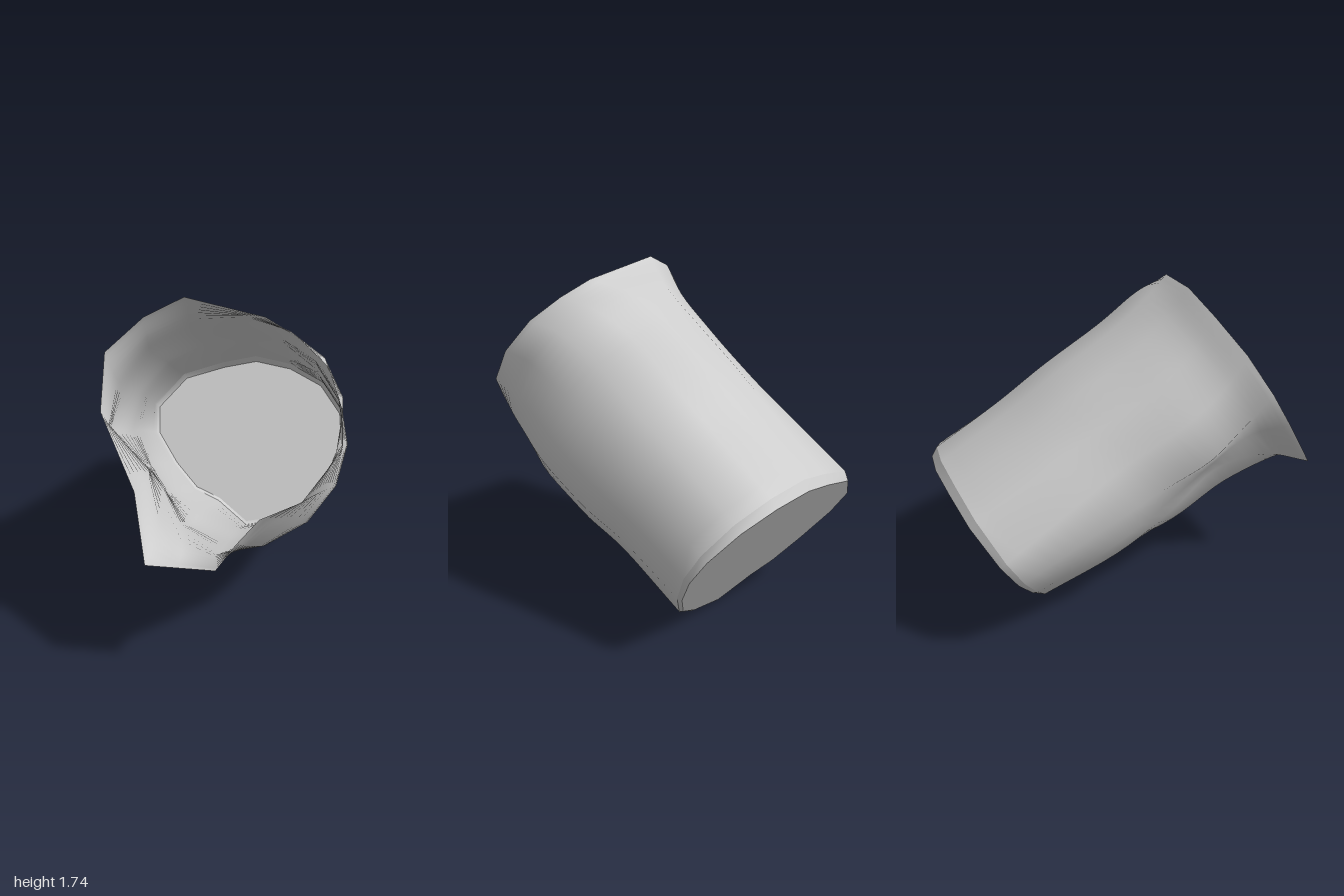
import * as THREE from 'three';

const SIDES = 16;
const material = new THREE.MeshStandardMaterial({ color: 0xcccccc, side: THREE.DoubleSide });

// Every cross-section lies in the tilted plane z + SLOPE * y = k
const SLOPE = 0.67;
const onPlane = (x, y, k) => new THREE.Vector3(x, y, k - SLOPE * y);

// Outlines [x, y, optional shift along the axis], starting underneath and turning towards +x
const BASE = [
  [0.01, 0], [0.23, 0.04], [0.37, 0.11], [0.5, 0.28], [0.57, 0.45], [0.55, 0.59], [0.42, 0.73], [0.22, 0.81],
  [0, 0.84], [-0.2, 0.8], [-0.44, 0.73], [-0.6, 0.57], [-0.585, 0.43], [-0.46, 0.28], [-0.32, 0.16], [-0.17, 0.11],
];
const PINCH = [
  [0.01, 0.62], [0.18, 0.68], [0.33, 0.78], [0.49, 0.91], [0.58, 1.1], [0.575, 1.3], [0.47, 1.46], [0.29, 1.56],
  [0.06, 1.61], [-0.21, 1.6], [-0.41, 1.5], [-0.56, 1.34], [-0.57, 1.14], [-0.34, 0.93], [-0.27, 0.75], [-0.15, 0.64],
];
const MOUTH = [
  [0.04, 0.67], [0.14, 0.79], [0.23, 0.89, 0.025], [0.42, 0.97, 0.03], [0.56, 1.13], [0.58, 1.32], [0.5, 1.49], [0.35, 1.6],
  [0.19, 1.675], [-0.21, 1.74], [-0.4, 1.65], [-0.575, 1.5], [-0.57, 1.26], [-0.37, 0.96, 0.02], [-0.295, 0.67], [-0.14, 0.67],
];

// How strongly each column of the lower -x side is pushed in
const DENT = { 13: 0.9, 14: 1, 15: 0.4 };

// Rounded section of the body between a lowest and a highest y
function roundSection(k, low, high, left, right, dent) {
  return BASE.map((_, i) => {
    const a = (i / SIDES) * Math.PI * 2 - Math.PI / 2;
    const push = 1 - dent * (DENT[i] ?? 0);
    const c = Math.cos(a) * push, s = Math.sin(a) * push;
    return onPlane(c * (c > 0 ? right : left), (low + high) / 2 + s * (high - low) / 2, k);
  });
}

function mix(ringA, ringB, t) {
  return ringA.map((p, i) => p.clone().lerp(ringB[i], t));
}

function build(name, points, index) {
  const geometry = new THREE.BufferGeometry().setFromPoints(points);
  geometry.setIndex(index);
  geometry.computeVertexNormals();
  const mesh = new THREE.Mesh(geometry, material);
  mesh.name = name;
  return mesh;
}

// Skin through closed rings
function loft(name, rings) {
  const index = [];
  for (let r = 0; r < rings.length - 1; r++) {
    for (let i = 0; i < SIDES; i++) {
      const a = r * SIDES + i, b = r * SIDES + ((i + 1) % SIDES);
      index.push(a, b, b + SIDES, a, b + SIDES, a + SIDES);
    }
  }
  return build(name, rings.flat(), index);
}

export function createModel() {
  const group = new THREE.Group();
  group.name = 'dentedCan';

  // The bevel is wide along the upper edge and vanishes underneath
  const disc = BASE.map(([x, y]) => onPlane(x * 0.975, 0.015 + y * 0.982, -0.437));
  const foot = BASE.map(([x, y]) => onPlane(x, y * 1.06, -0.43 + y * 0.07));

  // Main sections from the foot to the crumpled mouth
  const lowerBody = mix(
    foot.map((p) => onPlane(p.x, p.y + 0.21, 0.1)),
    roundSection(0.1, 0.22, 1.09, 0.6, 0.585, 0.05),
    0.6,
  );
  const sections = [
    foot,
    lowerBody,
    roundSection(0.5, 0.345, 1.28, 0.59, 0.605, 0.16),
    roundSection(0.93, 0.5, 1.47, 0.61, 0.595, 0.28),
    PINCH.map(([x, y]) => onPlane(x, y, 1.25)),
    MOUTH.map(([x, y, shift = 0]) => onPlane(x, y, 1.455 + shift)),
  ];

  // Smooth lengthwise curves with faint creases along the lower sides
  const STEPS = 25;
  const columns = BASE.map((_, i) => new THREE.CatmullRomCurve3(sections.map((s) => s[i])));
  const rings = [];
  for (let r = 0; r <= STEPS; r++) {
    const t = r / STEPS;
    rings.push(columns.map((curve, i) => {
      const p = curve.getPoint(t);
      const depth = (i > 11 || i < 5 ? 0.006 : 0.002) * Math.sin(Math.PI * t);
      p.x *= 1 - depth * Math.sin(t * 24 + i * 1.3);
      return p;
    }));
  }
  group.add(loft('body', rings));
  group.add(loft('bottomRim', [disc, foot]));

  // Closed end
  const capIndex = [];
  for (let i = 0; i < SIDES; i++) capIndex.push(0, 1 + ((i + 1) % SIDES), 1 + i);
  group.add(build('bottom', [onPlane(0, 0.43, -0.437), ...disc], capIndex));

  return group;
}
